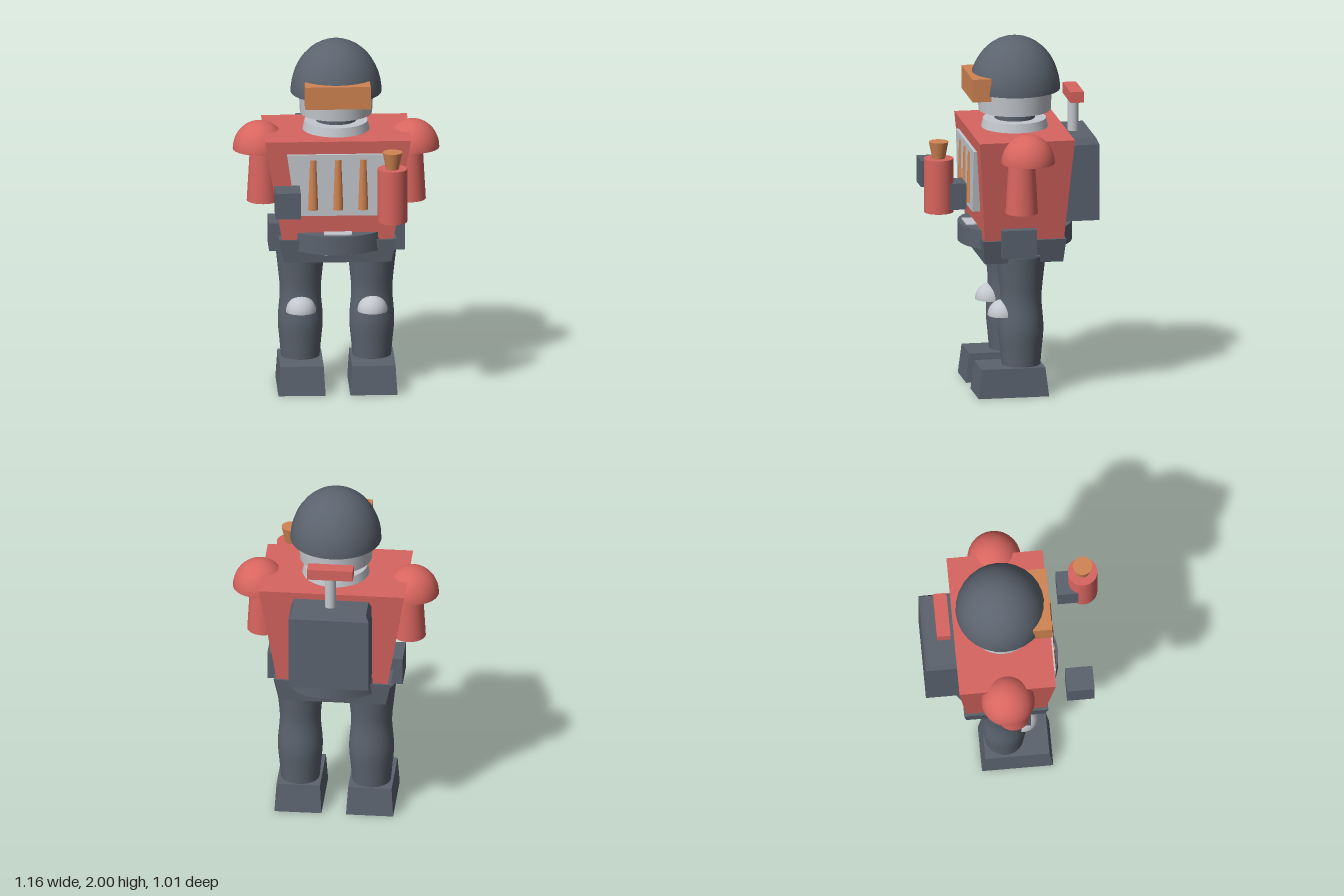
import * as THREE from 'three';

const mat = (name, color, side = THREE.FrontSide) => {
  const m = new THREE.MeshStandardMaterial({ color, side });
  m.name = name;
  return m;
};

export function createModel() {
  const red = mat('red', 0xd8655f, THREE.DoubleSide);
  const dark = mat('slate', 0x5b636e, THREE.DoubleSide);
  const light = mat('lightGrey', 0xc3c7cd, THREE.DoubleSide);
  const orange = mat('orange', 0xd08452);
  const group = new THREE.Group();
  const Z = -0.063; // body axis

  const add = (name, geo, material, x = 0, y = 0, z = 0) => {
    const mesh = new THREE.Mesh(geo, material);
    mesh.name = name;
    mesh.position.set(x, y, z);
    group.add(mesh);
    return mesh;
  };

  // box given by its limits
  const box = (name, material, x0, x1, y0, y1, z0, z1) =>
    add(name, new THREE.BoxGeometry(x1 - x0, y1 - y0, z1 - z0), material,
      (x0 + x1) / 2, (y0 + y1) / 2, (z0 + z1) / 2);

  // box whose top and bottom have different half sizes [x, z]
  const taper = (name, material, y0, y1, bottom, top, x, z) => {
    const geo = new THREE.BoxGeometry(2, y1 - y0, 2);
    const p = geo.attributes.position;
    for (let i = 0; i < p.count; i++) {
      const [hx, hz] = p.getY(i) > 0 ? top : bottom;
      p.setX(i, p.getX(i) * hx);
      p.setZ(i, p.getZ(i) * hz);
    }
    geo.computeVertexNormals();
    return add(name, geo, material, x, (y0 + y1) / 2, z);
  };

  // upright cylinder or cone between two heights
  const tube = (name, material, y0, y1, rBottom, rTop, x, z) =>
    add(name, new THREE.CylinderGeometry(rTop, rBottom, y1 - y0, 32), material,
      x, (y0 + y1) / 2, z);

  // open half sphere
  const dome = (name, material, r, h, x, y, z) => {
    const geo = new THREE.SphereGeometry(r, 28, 12, 0, Math.PI * 2, 0, Math.PI / 2);
    geo.scale(1, h / r, 1);
    return add(name, geo, material, x, y, z);
  };

  // head
  dome('helmet', dark, 0.255, 0.3, 0, 1.7, Z);
  box('visor', orange, -0.183, 0.183, 1.67, 1.8, 0.1, 0.207);
  tube('head', light, 1.58, 1.76, 0.202, 0.212, 0, Z);
  tube('neck', dark, 1.5, 1.6, 0.113, 0.113, 0, Z);
  tube('collar', light, 1.46, 1.533, 0.192, 0.177, 0, Z);

  // torso and chest plate
  taper('torso', red, 0.9, 1.483, [0.312, 0.225], [0.408, 0.27], 0, Z);
  taper('chestPlate', light, 1.055, 1.41, [0.235, 0.04], [0.286, 0.04], 0, 0.179);
  for (const x of [-0.14, 0, 0.14])
    tube('chestBar', orange, 1.09, 1.38, 0.032, 0.023, x, 0.204);

  // hips and belt
  taper('pelvis', dark, 0.765, 0.9, [0.3, 0.222], [0.328, 0.236], 0, Z);
  tube('belt', dark, 0.835, 0.942, 0.32, 0.32, 0, Z);
  box('buckle', light, -0.078, 0.078, 0.827, 0.948, 0.1, 0.225);

  // leg profile, radius and height
  const profile = new THREE.SplineCurve([
    [0.107, 0.15], [0.116, 0.25], [0.126, 0.38], [0.115, 0.54], [0.125, 0.67], [0.141, 0.81],
  ].map(([r, y]) => new THREE.Vector2(r, y))).getPoints(24);
  profile.push(new THREE.Vector2(0, 0.81));
  const legGeo = new THREE.LatheGeometry(profile, 32);

  // mirrored limbs
  for (const s of [-1, 1]) {
    const side = s > 0 ? 'left' : 'right';
    dome(side + 'Shoulder', red, 0.15, 0.16, s * 0.428, 1.37, Z);
    tube(side + 'Arm', red, 1.08, 1.43, 0.091, 0.071, s * 0.41, -0.03);
    box(side + 'Hand', dark, s * 0.288 - 0.07, s * 0.288 + 0.07, 1.1, 1.25, 0.275, 0.43);
    box(side + 'HipPouch', dark, s * 0.335 - 0.045, s * 0.335 + 0.045, 0.81, 0.97, -0.122, 0.07);
    add(side + 'Leg', legGeo, dark, s * 0.2, 0, Z);
    dome(side + 'KneePad', light, 0.085, 0.088, s * 0.2, 0.448, 0.04);
    taper(side + 'Foot', dark, 0, 0.165, [0.132, 0.2], [0.122, 0.18], s * 0.201, 0);
  }

  // canister held in the left hand
  tube('canister', red, 1.08, 1.387, 0.083, 0.083, 0.295, 0.421);
  tube('canisterNozzle', orange, 1.387, 1.482, 0.036, 0.055, 0.295, 0.421);

  // backpack with chamfered top and mast
  box('backpack', dark, -0.225, 0.225, 0.975, 1.41, -0.505, -0.28);
  taper('backpackTop', dark, 1.41, 1.445, [0.225, 0.1125], [0.208, 0.0955], 0, -0.3925);
  tube('mast', light, 1.44, 1.64, 0.031, 0.031, 0, -0.395);
  box('mastBar', red, -0.128, 0.128, 1.63, 1.692, -0.434, -0.358);

  return group;
}
